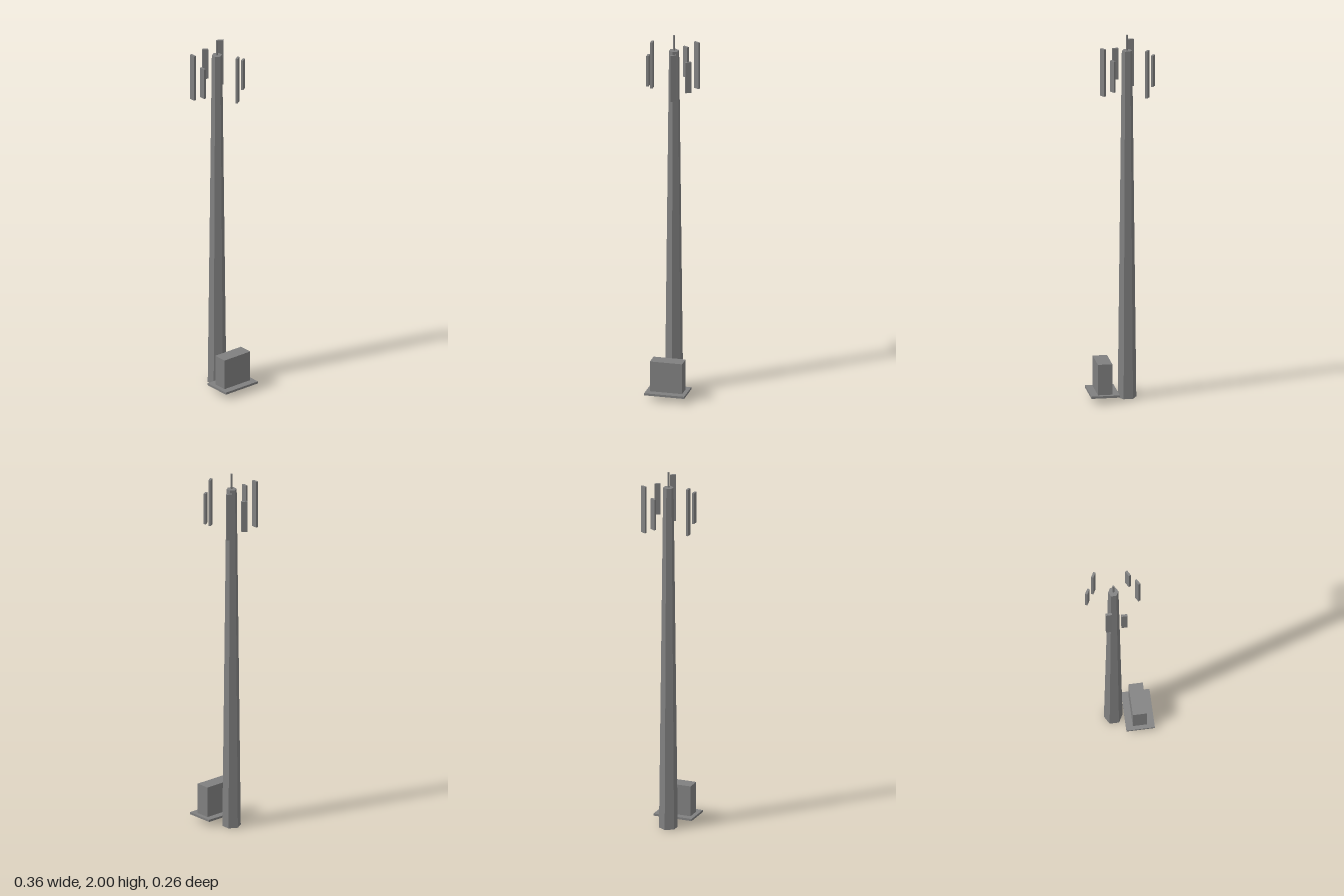
import * as THREE from 'three';

export function createModel() {
  const model = new THREE.Group();
  model.name = 'antennaMast';
  const grey = new THREE.MeshStandardMaterial({ color: 0x808080 });
  grey.name = 'grey';
  grey.flatShading = true;

  const add = (parent, name, geometry, x, y, z) => {
    const mesh = new THREE.Mesh(geometry, grey);
    mesh.name = name;
    mesh.position.set(x, y, z);
    parent.add(mesh);
    return mesh;
  };

  // Mast axis stands slightly off centre
  const mast = new THREE.Group();
  mast.name = 'mast';
  mast.position.set(-0.031, 0, -0.011);
  model.add(mast);

  // Tapered six-sided pole, corners on the x axis
  const poleHeight = 1.915;
  add(mast, 'pole', new THREE.CylinderGeometry(0.028, 0.05, poleHeight, 6), 0, poleHeight / 2, 0)
    .rotation.y = Math.PI / 6;

  // Lightning rod
  const rodHeight = 2 - poleHeight;
  add(mast, 'lightningRod', new THREE.CylinderGeometry(0.0055, 0.0055, rodHeight, 6), 0, poleHeight + rodHeight / 2, 0)
    .rotation.y = Math.PI / 6;

  // Three antenna sectors, each with a tall and a short panel
  for (let i = 0; i < 3; i++) {
    const sector = new THREE.Group();
    sector.name = 'antennaSector';
    sector.rotation.y = (i * Math.PI * 2) / 3;
    mast.add(sector);
    add(sector, 'tallPanel', new THREE.BoxGeometry(0.032, 0.26, 0.0125), -0.041, 1.808, 0.131);
    add(sector, 'shortPanel', new THREE.BoxGeometry(0.032, 0.172, 0.0125), 0.042, 1.805, 0.131);
  }

  // Equipment cabinet on its raised slab
  add(model, 'slab', new THREE.BoxGeometry(0.152, 0.012, 0.219), 0.101, 0.036, -0.0105);
  add(model, 'cabinet', new THREE.BoxGeometry(0.077, 0.168, 0.176), 0.1005, 0.126, -0.011);

  return model;
}
